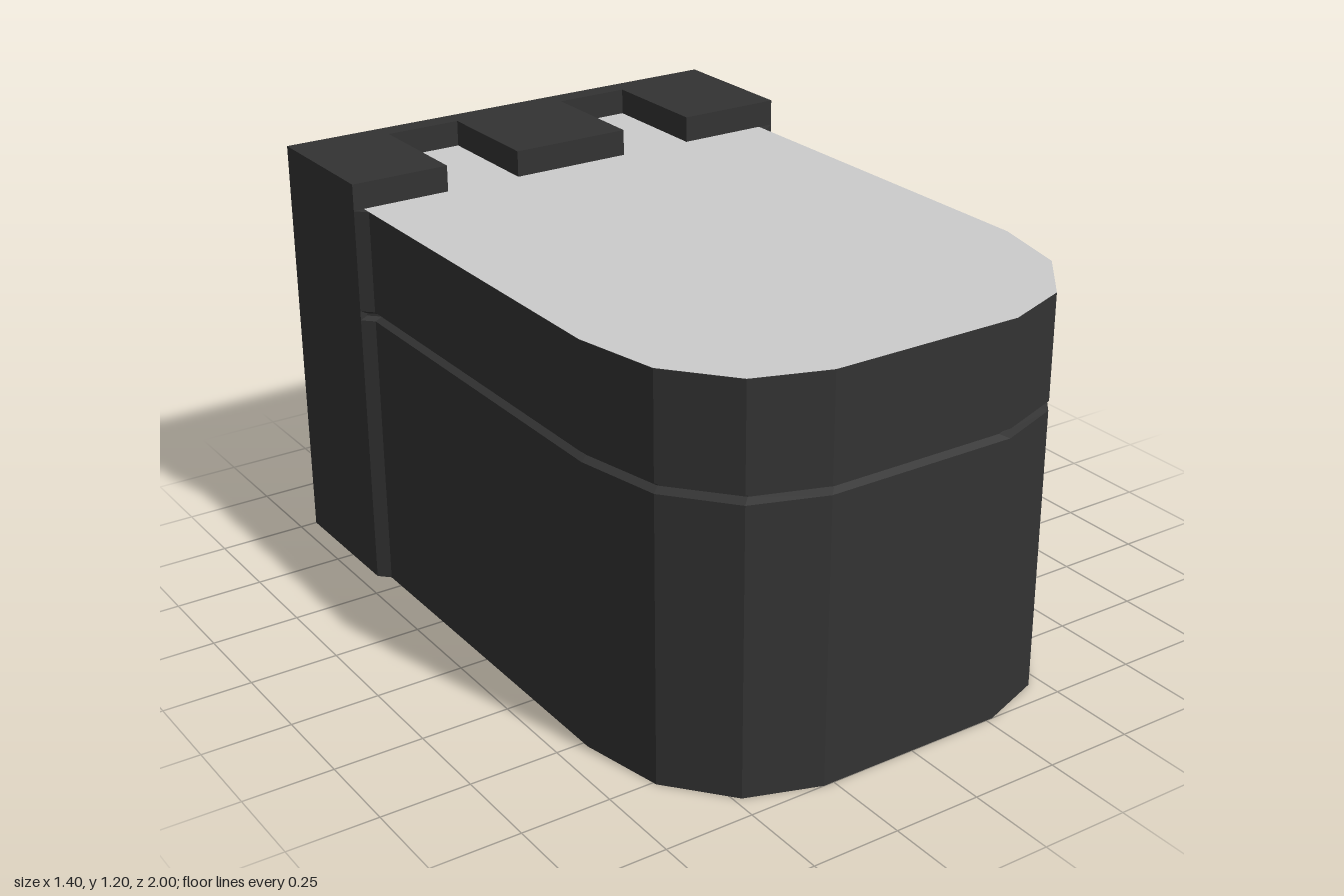
import * as THREE from 'three';

const dark = new THREE.MeshStandardMaterial({ color: 0x333333, flatShading: true });
const grey = new THREE.MeshStandardMaterial({ color: 0xcccccc, side: THREE.DoubleSide });

const TOP = 1.125, BLOCK_TOP = 1.2, BACK = -1, BLOCK_FRONT = -0.59, NOTCH_BACK = -0.94;
const NOTCHES = [[-0.41, -0.185], [0.17, 0.39]];

// Plan outline of the rounded nose, as [x, z] from the left rear to the right rear
const nose = [
  [0.655, -0.555], [0.655, 0.53], [0.6, 0.76], [0.46, 0.93], [0.27, 1],
  [-0.28, 1], [-0.48, 0.93], [-0.62, 0.76], [-0.67, 0.52], [-0.67, -0.56],
];
// The body flares out to the full width where it meets the rear block
const bodyOutline = [[0.7, BLOCK_FRONT], ...nose, [-0.7, BLOCK_FRONT]];

// Shape lying in the plan: z is negated so that rotating by -90 degrees puts it back
const planShape = (pts) => new THREE.Shape(pts.map(([x, z]) => new THREE.Vector2(x, -z)));

function add(group, name, geometry, material) {
  const mesh = new THREE.Mesh(geometry, material);
  mesh.name = name;
  group.add(mesh);
  return mesh;
}

// Closed solid through stacked copies of an outline; each level is [y, inset]
function loft(outline, levels) {
  const rings = levels.map(([y, inset]) => outline.map(([x, z]) => [
    x - Math.sign(x) * inset, y, z > 0.4 ? z - inset * z : z,
  ]));
  const pos = [];
  const tri = (a, b, c) => pos.push(...a, ...b, ...c);
  const n = outline.length;
  for (let k = 0; k < rings.length - 1; k++) {
    for (let i = 0; i < n; i++) {
      const j = (i + 1) % n;
      const [a, b, c, d] = [rings[k][i], rings[k][j], rings[k + 1][j], rings[k + 1][i]];
      tri(a, c, b);
      tri(a, d, c);
    }
  }
  // End faces, wound to face up and down
  const flat = outline.map(([x, z]) => new THREE.Vector2(x, -z));
  const flip = THREE.ShapeUtils.isClockWise(flat);
  const bottom = rings[0], top = rings[rings.length - 1];
  for (const f of THREE.ShapeUtils.triangulateShape(flat, [])) {
    const [a, b, c] = f;
    const area = (flat[b].x - flat[a].x) * (flat[c].y - flat[a].y)
      - (flat[c].x - flat[a].x) * (flat[b].y - flat[a].y);
    const [p, q, r] = area > 0 ? [a, b, c] : [a, c, b];
    tri(top[p], top[q], top[r]);
    tri(bottom[p], bottom[r], bottom[q]);
  }
  // Side walls must run the other way when the outline is anticlockwise
  if (!flip) {
    const sideEnd = (rings.length - 1) * n * 18;
    for (let i = 0; i < sideEnd; i += 9) {
      for (let m = 0; m < 3; m++) {
        [pos[i + 3 + m], pos[i + 6 + m]] = [pos[i + 6 + m], pos[i + 3 + m]];
      }
    }
  }
  const geometry = new THREE.BufferGeometry();
  geometry.setAttribute('position', new THREE.Float32BufferAttribute(pos, 3));
  geometry.computeVertexNormals();
  return geometry;
}

export function createModel() {
  const model = new THREE.Group();
  model.name = 'model';

  // Rounded body with a shallow groove running round it
  add(model, 'groovedBody', loft(bodyOutline, [
    [0, 0], [0.805, 0], [0.815, 0.02], [0.822, 0.02], [0.832, 0], [TOP - 0.001, 0],
  ]), dark);

  // Rear block up to the level of the top plate
  const h = TOP - 0.001;
  const depth = BLOCK_FRONT - BACK;
  add(model, 'rearBlock', new THREE.BoxGeometry(1.4, h, depth), dark)
    .position.set(0, h / 2, BACK + depth / 2);

  // Raised crown of the rear block, with two notches open to the front
  const crown = [[0.7, BACK], [-0.7, BACK], [-0.7, BLOCK_FRONT]];
  for (const [x0, x1] of NOTCHES) {
    crown.push([x0, BLOCK_FRONT], [x0, NOTCH_BACK], [x1, NOTCH_BACK], [x1, BLOCK_FRONT]);
  }
  crown.push([0.7, BLOCK_FRONT]);
  const crownGeometry = new THREE.ExtrudeGeometry(planShape(crown), {
    depth: BLOCK_TOP - h, bevelEnabled: false,
  });
  crownGeometry.rotateX(-Math.PI / 2);
  add(model, 'notchedCrown', crownGeometry, dark).position.y = h;

  // Pale top plate, with two tongues reaching into the notches
  const plate = [[0.655, BLOCK_FRONT], ...nose, [-0.67, BLOCK_FRONT]];
  for (const [x0, x1] of NOTCHES) {
    plate.push([x0, BLOCK_FRONT], [x0, NOTCH_BACK], [x1, NOTCH_BACK], [x1, BLOCK_FRONT]);
  }
  const plateGeometry = new THREE.ShapeGeometry(planShape(plate));
  plateGeometry.rotateX(-Math.PI / 2);
  add(model, 'topPlate', plateGeometry, grey).position.y = TOP;

  return model;
}
